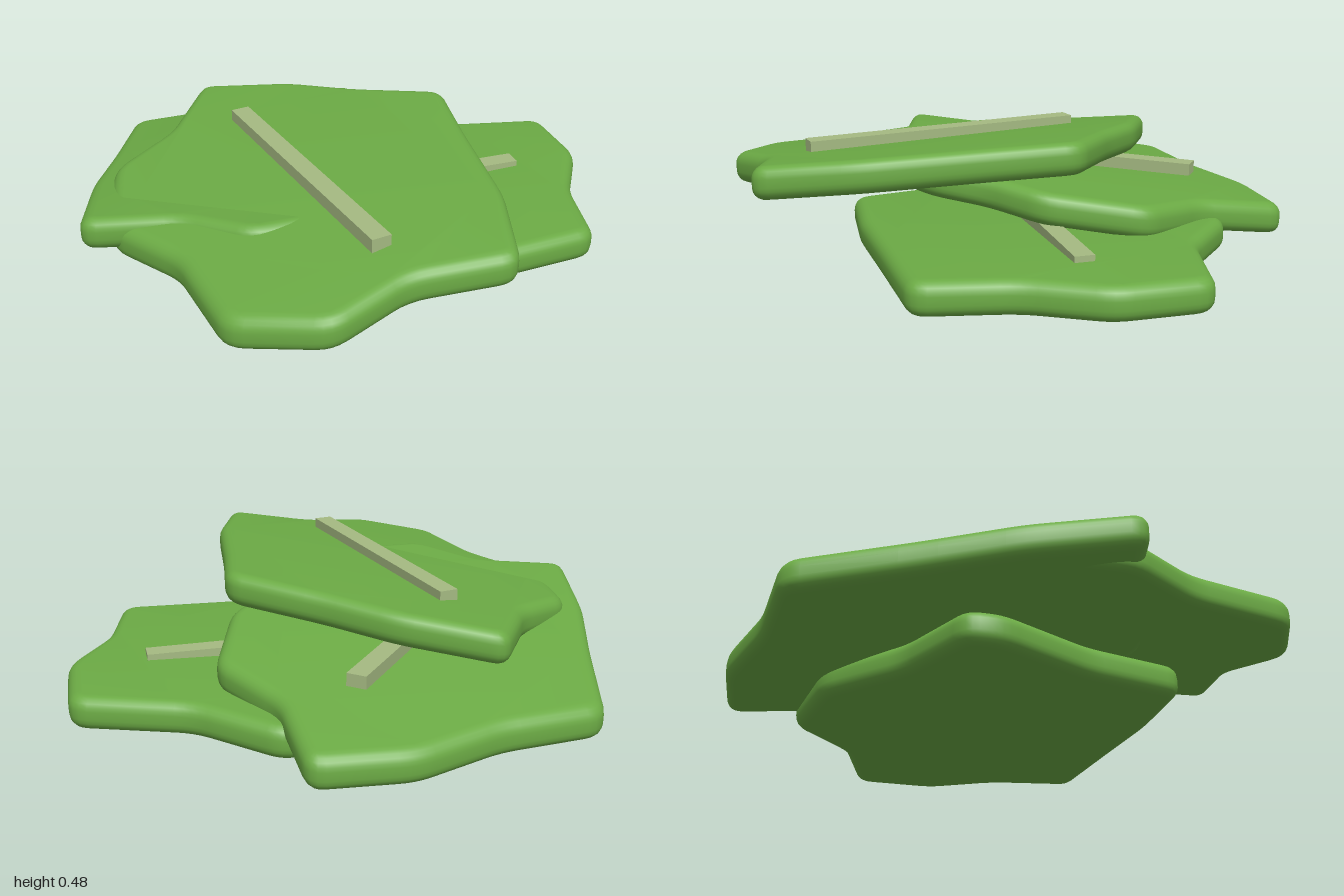
import * as THREE from 'three';
import { toCreasedNormals } from 'three/addons/utils/BufferGeometryUtils.js';

const green = new THREE.MeshStandardMaterial({ color: 0x6cab45 });
green.name = 'leafGreen';
const pale = new THREE.MeshStandardMaterial({ color: 0xa5ba82 });
pale.name = 'paleRib';

const THICK = 0.12, BEVEL = 0.045;

// Outline with each corner softened by a short curve
function softOutline(points, radius = 0.06) {
  const pts = points.map(([x, z]) => new THREE.Vector2(x, -z));
  const shape = new THREE.Shape();
  pts.forEach((p, i) => {
    const toward = (q) => p.clone().lerp(q, Math.min(0.4, radius / p.distanceTo(q)));
    const a = toward(pts[(i + pts.length - 1) % pts.length]);
    const b = toward(pts[(i + 1) % pts.length]);
    if (i === 0) shape.moveTo(a.x, a.y);
    else shape.lineTo(a.x, a.y);
    shape.quadraticCurveTo(p.x, p.y, b.x, b.y);
  });
  shape.closePath();
  return shape;
}

// Rounded slab whose top lies on y = top + slopeX * x + slopeZ * z
function leaf(name, points, top, slopeX, slopeZ) {
  const geo = new THREE.ExtrudeGeometry(softOutline(points), {
    depth: THICK - 2 * BEVEL, bevelThickness: BEVEL, bevelSize: BEVEL,
    bevelOffset: -BEVEL, bevelSegments: 5, curveSegments: 4,
  });
  geo.rotateX(-Math.PI / 2);
  const p = geo.attributes.position;
  for (let i = 0; i < p.count; i++) {
    const lift = top - THICK + BEVEL + slopeX * p.getX(i) + slopeZ * p.getZ(i);
    p.setY(i, p.getY(i) + lift);
  }
  const mesh = new THREE.Mesh(toCreasedNormals(geo, 0.7), green);
  mesh.name = name;
  return mesh;
}

// Level bar from one end to the other
function rib(name, [x1, z1], [x2, z2], bottom, top) {
  const dx = x2 - x1, dz = z2 - z1;
  const mesh = new THREE.Mesh(new THREE.BoxGeometry(Math.hypot(dx, dz), top - bottom, 0.07), pale);
  mesh.position.set((x1 + x2) / 2, (bottom + top) / 2, (z1 + z2) / 2);
  mesh.rotation.y = Math.atan2(-dz, dx);
  mesh.name = name;
  return mesh;
}

export function createModel() {
  const group = new THREE.Group();
  group.name = 'leafStack';

  // Bottom leaf, rising slightly toward +x
  group.add(leaf('bottomLeaf', [
    [0.37, -0.72], [0.62, -0.48], [1.01, -0.36], [1.0, -0.03], [0.84, 0.22], [0.76, 0.55],
    [0.3, 0.56], [-0.05, 0.57], [-0.41, 0.54], [-0.48, 0.17], [-0.64, -0.18],
    [-0.63, -0.31], [-0.3, -0.44], [-0.02, -0.67],
  ], 0.152, 0.037, 0));
  group.add(rib('bottomRib', [-0.36, -0.035], [0.72, -0.035], 0.14, 0.2));

  // Middle leaf, sloping down toward the back
  group.add(leaf('middleLeaf', [
    [-0.66, -0.89], [-0.3, -0.91], [0.01, -1.0], [0.35, -0.97], [0.36, -0.62], [0.52, -0.35],
    [0.4, 0.01], [0.2, 0.16], [0.08, 0.34], [-0.18, 0.48], [-0.49, 0.475], [-0.68, 0.27],
    [-1.01, 0.17], [-0.92, -0.2], [-0.8, -0.5],
  ], 0.32, 0, 0.14));
  group.add(rib('middleRib', [0.12, -0.69], [-0.4, -0.08], 0.27, 0.315));

  // Top leaf, rising toward +x and cutting through the middle leaf
  group.add(leaf('topLeaf', [
    [-0.39, -0.71], [-0.06, -0.53], [0.15, -0.34], [0.44, -0.13], [0.39, 0.2], [0.34, 0.62],
    [0.23, 0.97], [-0.1, 0.9], [-0.38, 1.0], [-0.67, 0.84], [-0.73, 0.45],
    [-0.9, 0.17], [-0.86, -0.1], [-0.83, -0.23], [-0.59, -0.39],
  ], 0.438, 0.14, -0.03));
  group.add(rib('topRib', [-0.32, -0.335], [-0.135, 0.735], 0.385, 0.44));

  return group;
}
